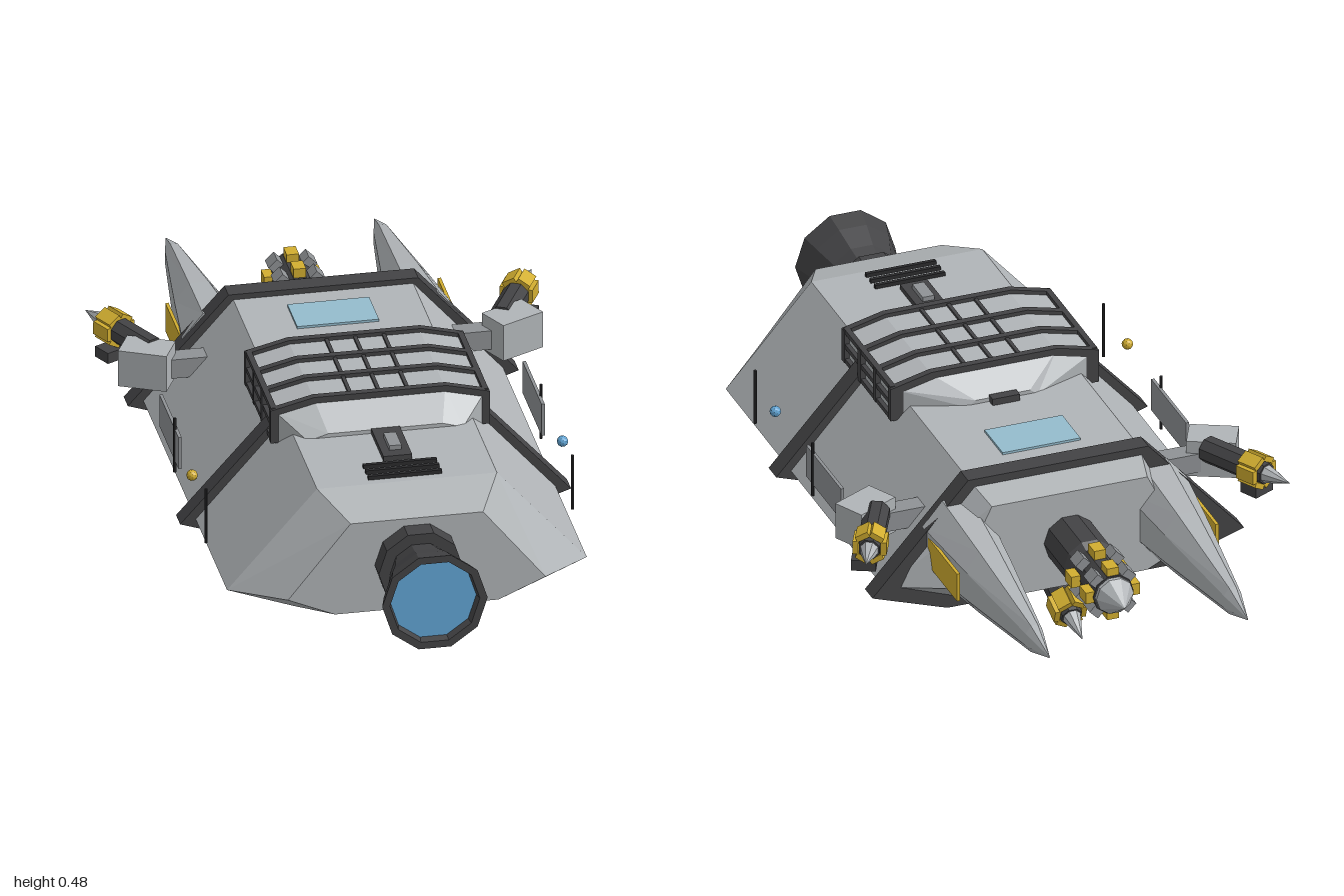
import * as THREE from 'three';

const mat = (name, color) => {
  const m = new THREE.MeshStandardMaterial({ color, flatShading: true });
  m.name = name;
  return m;
};

export function createModel() {
  const root = new THREE.Group();
  const hullGrey = mat('hull grey', 0xb0b4b7);
  const dark = mat('dark trim', 0x434345);
  const steel = mat('steel grey', 0x8f9295);
  const black = mat('black', 0x2b2b2d);
  const yellow = mat('yellow', 0xd2ae30);
  const blue = mat('engine blue', 0x62a6d6);
  const glass = mat('window blue', 0x94bccd);

  const add = (name, geo, m, pos = [0, 0, 0], parent = root) => {
    const mesh = new THREE.Mesh(geo, m);
    mesh.name = name;
    mesh.position.set(...pos);
    parent.add(mesh);
    return mesh;
  };
  const box = (name, size, m, pos, parent) => add(name, new THREE.BoxGeometry(...size), m, pos, parent);

  // Skin between cross-sections {z, pts}, ordered from +z to -z, points counter-clockwise
  const loft = (sections) => {
    const v = [];
    const put = (s, i) => v.push(s.pts[i][0], s.pts[i][1], s.z);
    const n = sections[0].pts.length;
    for (let k = 0; k + 1 < sections.length; k++) {
      const a = sections[k], b = sections[k + 1];
      for (let i = 0; i < n; i++) {
        const j = (i + 1) % n;
        put(a, i); put(b, i); put(b, j);
        put(a, i); put(b, j); put(a, j);
      }
    }
    const first = sections[0], last = sections[sections.length - 1];
    for (let i = 1; i + 1 < n; i++) {
      put(first, 0); put(first, i); put(first, i + 1);
      put(last, 0); put(last, i + 1); put(last, i);
    }
    const g = new THREE.BufferGeometry();
    g.setAttribute('position', new THREE.Float32BufferAttribute(v, 3));
    g.computeVertexNormals();
    return g;
  };
  // Mirrored outline from its right half, listed bottom to top
  const outline = (z, half) => ({ z, pts: [...half, ...half.map(([x, y]) => [-x, y]).reverse()] });

  // Hull
  const full = [[0.275, 0.09], [0.44, 0.15], [0.22, 0.4]];
  const end = [[0.2, 0.12], [0.315, 0.17], [0.162, 0.36]];
  const nose = [[0.2, 0.12], [0.3, 0.17], [0.2, 0.375]];
  add('hull', loft([outline(0.78, end), outline(0.66, full), outline(-0.38, full), outline(-0.48, nose)]), hullGrey);

  // Collars round the hull
  const collar = [[0.285, 0.075], [0.478, 0.14], [0.232, 0.414]];
  for (const z of [0.255, -0.38])
    add('collar', loft([outline(z + 0.025, collar), outline(z - 0.025, collar)]), dark);

  // Cargo dome and its cage
  const dome = [[0.255, 0.36], [0.255, 0.445], [0.16, 0.468]];
  add('cargoDome', loft([
    outline(0.4, [[0.19, 0.36], [0.19, 0.395], [0.14, 0.41]]), outline(0.33, dome),
    outline(0.02, dome), outline(-0.04, [[0.09, 0.36], [0.09, 0.395], [0.07, 0.41]]),
  ]), hullGrey);
  const hoop = [[0.268, 0.365], [0.268, 0.452], [0.162, 0.478]];
  for (const z of [0.328, 0.222, 0.122, 0.022])
    add('cageHoop', loft([outline(z + 0.009, hoop), outline(z - 0.009, hoop)]), dark);
  for (const x of [-0.07, 0, 0.07]) box('cageRail', [0.009, 0.012, 0.31], dark, [x, 0.468, 0.175]);
  for (const s of [-1, 1])
    for (const y of [0.37, 0.41, 0.45]) box('cageSideRail', [0.014, 0.012, 0.31], dark, [s * 0.259, y, 0.175]);

  // Roof details
  box('window', [0.2, 0.008, 0.12], glass, [0, 0.402, -0.235]);
  box('hatch', [0.07, 0.016, 0.15], dark, [0, 0.405, 0.475]);
  box('hatchLatch', [0.03, 0.02, 0.07], steel, [0, 0.415, 0.485]);
  box('roofBlock', [0.07, 0.025, 0.025], dark, [0, 0.405, -0.05]);
  for (const z of [0.575, 0.605, 0.635]) box('louver', [0.18, 0.014, 0.01], black, [0, 0.403, z]);

  // Belly details
  box('bellyBuckle', [0.06, 0.02, 0.05], steel, [0, 0.07, 0.25]);
  box('bellyBox', [0.11, 0.03, 0.06], steel, [0, 0.08, 0.17]);

  // Engine: lathe turned so the nozzle opens to +z with a flat side on top
  const engine = new THREE.Group();
  engine.name = 'engine';
  engine.position.set(0, 0.243, 0);
  root.add(engine);
  const lathe = (name, pts, m, parent, sides = 10) => {
    const g = new THREE.LatheGeometry(pts.map((p) => new THREE.Vector2(...p)), sides, Math.PI / sides);
    return add(name, g.rotateX(Math.PI / 2), m, [0, 0, 0], parent);
  };
  lathe('engineFlange', [[0, 0.77], [0.103, 0.77], [0.103, 0.83], [0, 0.83]], dark, engine);
  lathe('nozzle', [[0.072, 0.82], [0.092, 0.89], [0.115, 0.95], [0.129, 1], [0.11, 1], [0.104, 0.975]], dark, engine);
  lathe('engineGlow', [[0.107, 0.98], [0, 0.98]], blue, engine);

  // Gun built along +z and aimed from one point to another
  const gun = (name, from, to) => {
    const g = new THREE.Group();
    g.name = name;
    g.position.set(...from);
    g.lookAt(...to);
    root.add(g);
    lathe('barrel', [[0, 0], [0.033, 0], [0.033, 0.13], [0.027, 0.19], [0, 0.19]], dark, g, 8);
    lathe('gunTip', [[0, 0.185], [0.024, 0.185], [0.016, 0.215], [0, 0.265]], hullGrey, g, 8);
    for (let i = 0; i < 6; i++) {
      const a = (i * Math.PI) / 3;
      box('gunClamp', [0.014, 0.034, 0.055], yellow, [Math.cos(a) * 0.034, Math.sin(a) * 0.034, 0.155], g).rotation.z = a;
    }
  };
  gun('bellyGun', [0, 0.102, -0.315], [0, 0.015, -0.56]);
  box('bellyGunMount', [0.08, 0.04, 0.09], steel, [0, 0.085, -0.32]);

  for (const s of [-1, 1]) {
    // Side guns with mounts and lower rails
    gun('sideGun', [s * 0.425, 0.312, -0.3], [s * 0.545, 0.315, -0.534]);
    box('gunMount', [0.12, 0.095, 0.085], hullGrey, [s * 0.447, 0.29, -0.278]).rotation.y = s * 0.46;
    box('gunRail', [0.06, 0.028, 0.05], dark, [s * 0.505, 0.257, -0.42]).rotation.y = -s * 0.46;
    box('gunArm', [0.16, 0.05, 0.05], steel, [s * 0.37, 0.28, -0.28]);

    // Prongs
    const prong = (z, w, h) => ({
      z, pts: [[0.4, -1], [1, -0.45], [1, 0.45], [0.4, 1], [-0.4, 1], [-1, 0.45], [-1, -0.45], [-0.4, -1]]
        .map(([x, y]) => [s * 0.255 + x * w, 0.245 + y * h]),
    });
    add('prong', loft([prong(-0.38, 0.085, 0.112), prong(-0.6, 0.06, 0.083),
      prong(-0.9, 0.022, 0.036), prong(-1, 0.001, 0.002)]), hullGrey);
    box('prongPanel', [0.008, 0.075, 0.19], yellow, [s * 0.333, 0.243, -0.505]);

    // Side panel, aerials and running light
    box('sidePanel', [0.008, 0.085, 0.23], steel, [s * 0.444, 0.243, -0.005]);
    for (const z of [0.445, 0.065])
      add('aerial', new THREE.CylinderGeometry(0.004, 0.004, 0.145, 6), black, [s * 0.448, 0.243, z]);
    add('runningLight', new THREE.IcosahedronGeometry(0.014, 1), s > 0 ? blue : yellow, [s * 0.453, 0.28, 0.3]);
  }

  // Nose cannon
  const cannon = new THREE.Group();
  cannon.name = 'noseCannon';
  cannon.position.set(0, 0.245, -0.46);
  cannon.rotation.y = Math.PI;
  root.add(cannon);
  lathe('cannonBarrel', [[0, 0], [0.066, 0], [0.066, 0.15], [0.052, 0.17], [0.052, 0.31], [0, 0.31]], dark, cannon);
  lathe('cannonTip', [[0, 0.3], [0.048, 0.3], [0.048, 0.32], [0, 0.385]], hullGrey, cannon);
  for (let i = 0; i < 8; i++) {
    const a = (i * Math.PI) / 4;
    for (const [z, r] of [[0.2, 0.062], [0.285, 0.058]])
      box('cannonBlock', [0.024, 0.03, 0.042], i % 2 ? steel : yellow,
        [Math.cos(a) * r, Math.sin(a) * r, z], cannon).rotation.z = a;
  }
  return root;
}
